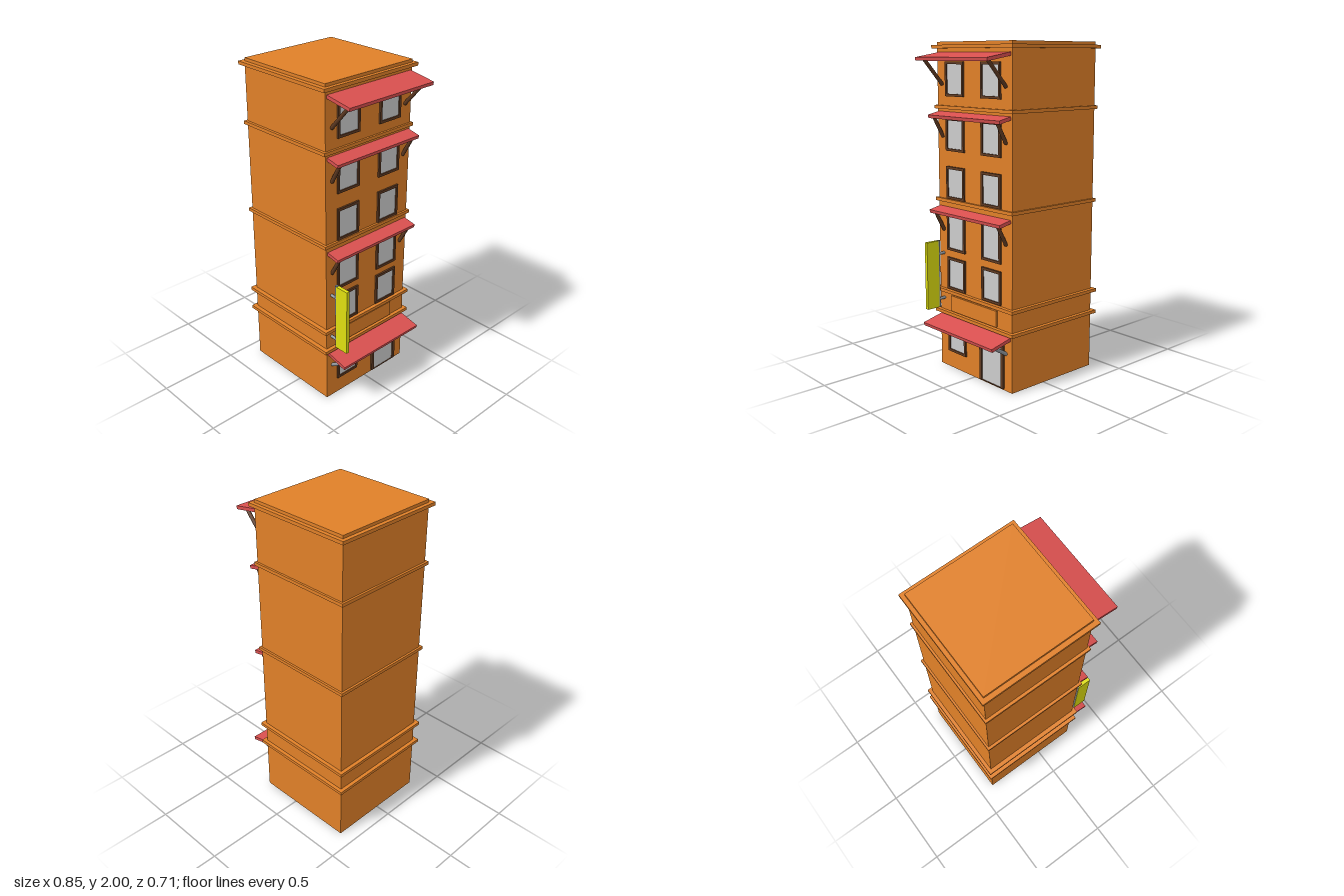
import * as THREE from 'three';

const mat = (color) => new THREE.MeshStandardMaterial({ color });

export function createModel() {
  const model = new THREE.Group();
  const orange = mat(0xe08028), red = mat(0xd9504f), brown = mat(0x5f3a22);
  const grey = mat(0xcccccc), steel = mat(0x8f959c), yellow = mat(0xdede10);
  const WALL = 0.255;

  // Box given by its minimum and maximum on each axis
  const box = (name, material, x0, x1, y0, y1, z0, z1, parent = model) => {
    const mesh = new THREE.Mesh(new THREE.BoxGeometry(x1 - x0, y1 - y0, z1 - z0), material);
    mesh.position.set((x0 + x1) / 2, (y0 + y1) / 2, (z0 + z1) / 2);
    mesh.name = name;
    parent.add(mesh);
    return mesh;
  };

  // Round bar between two points
  const rod = (name, material, a, b, r, parent = model) => {
    const from = new THREE.Vector3(...a), dir = new THREE.Vector3(...b).sub(from);
    const mesh = new THREE.Mesh(new THREE.CylinderGeometry(r, r, dir.length(), 12), material);
    mesh.position.copy(from).addScaledVector(dir, 0.5);
    mesh.quaternion.setFromUnitVectors(new THREE.Vector3(0, 1, 0), dir.normalize());
    mesh.name = name;
    parent.add(mesh);
  };

  // Tower block
  box('building', orange, -0.405, WALL, 0, 2, -0.334, 0.326);

  // Ledges around the walls: centre height, overhang
  for (const [y, o] of [[0.354, 0.023], [0.493, 0.023], [1.06, 0.013], [1.62, 0.013], [1.972, 0.023]]) {
    box('ledge', orange, -0.405 - o, WALL + o, y - 0.01, y + 0.01, -0.334 - o, 0.33 + o);
  }

  // Framed opening: an extruded border with a pane behind it
  const opening = (name, z0, z1, y0, y1, side, bottom) => {
    const group = new THREE.Group();
    group.name = name;
    const w = z1 - z0, h = y1 - y0, t = 0.016;
    const shape = new THREE.Shape([[0, 0], [w, 0], [w, h], [0, h]].map((p) => new THREE.Vector2(...p)));
    shape.holes.push(new THREE.Path(
      [[side, bottom], [side, h - t], [w - side, h - t], [w - side, bottom]].map((p) => new THREE.Vector2(...p))));
    const frame = new THREE.Mesh(new THREE.ExtrudeGeometry(shape, { depth: 0.012, bevelEnabled: false }), brown);
    frame.rotation.y = Math.PI / 2;
    frame.position.set(WALL - 0.001, y0, z1);
    frame.name = 'frame';
    group.add(frame);
    box('pane', grey, WALL - 0.002, WALL + 0.004, y0 + bottom / 2, y1 - t / 2, z0 + side / 2, z1 - side / 2, group);
    model.add(group);
  };

  // Windows in two columns, with the door in place of one on the ground floor
  for (const [y0, y1] of [[0.107, 0.28], [0.51, 0.71], [0.755, 0.99], [1.073, 1.27], [1.363, 1.56], [1.685, 1.887]]) {
    for (const z of [0.16, -0.16]) {
      if (y0 < 0.2 && z < 0) continue;
      opening('window', z - 0.083, z + 0.083, y0, y1, 0.015, 0.015);
    }
  }
  opening('door', -0.267, -0.055, 0.01, 0.295, 0.02, 0.002);

  // Sloping awnings on diagonal struts: wall y, outer x, outer y, strut foot y, strut head x and y
  const awnings = [
    [0.325, 0.398, 0.292, 0.228, 0.36, 0.293, steel],
    [1.012, 0.338, 0.994, 0.872, 0.32, 0.992, brown],
    [1.585, 0.338, 1.566, 1.443, 0.32, 1.562, brown],
    [1.93, 0.424, 1.901, 1.752, 0.385, 1.898, brown],
  ];
  for (const [wallY, outX, outY, footY, headX, headY, strut] of awnings) {
    const group = new THREE.Group();
    group.name = 'awning';
    const dx = outX - WALL, dy = outY - wallY;
    const roof = new THREE.Mesh(new THREE.BoxGeometry(Math.hypot(dx, dy), 0.02, 0.637), red);
    roof.position.set(WALL + dx / 2, wallY + dy / 2, -0.003);
    roof.rotation.z = Math.atan2(dy, dx);
    roof.name = 'awningRoof';
    group.add(roof);
    for (const z of [0.28, -0.283]) {
      rod('awningStrut', strut, [WALL, footY, z], [headX, headY, z], 0.011, group);
    }
    model.add(group);
  }

  // Blank panel over the entrance
  box('wallPanel', orange, WALL - 0.002, 0.268, 0.372, 0.47, -0.208, 0.21);

  // Hanging sign on a post with two brackets
  const sign = new THREE.Group();
  sign.name = 'hangingSign';
  box('signBoard', yellow, 0.306, 0.394, 0.39, 0.81, 0.275, 0.297, sign);
  rod('signPost', steel, [0.301, 0.388, 0.286], [0.301, 0.812, 0.286], 0.01, sign);
  for (const y of [0.44, 0.727]) {
    rod('signBracket', steel, [WALL, y, 0.286], [0.301, y, 0.286], 0.009, sign);
  }
  model.add(sign);

  return model;
}
